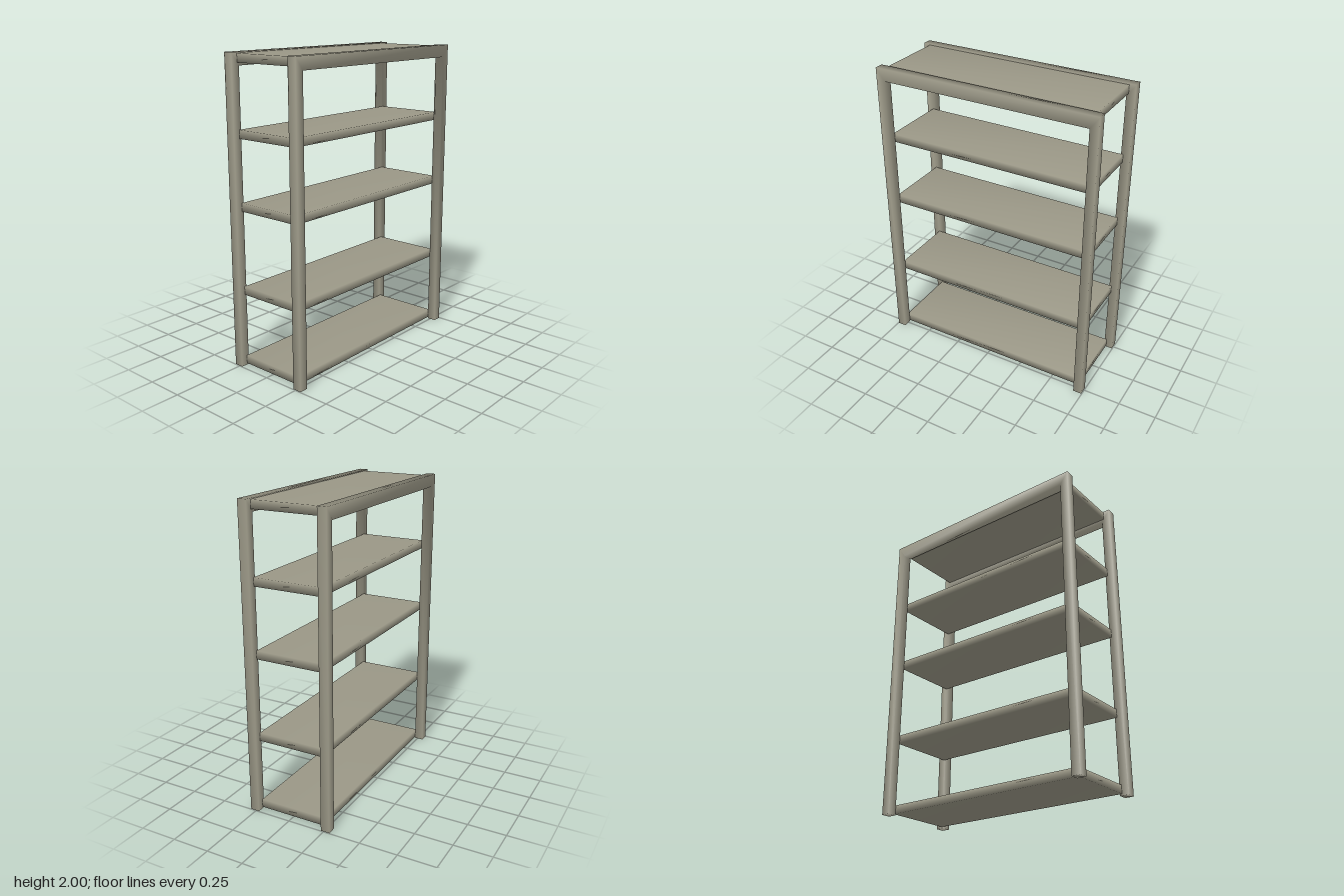
import * as THREE from 'three';
import { mergeVertices } from 'three/addons/utils/BufferGeometryUtils.js';

const HALF_W = 0.746, INNER_W = 0.688; // outer and inner half width of a frame
const TOP = 2, RAIL_BOTTOM = 1.92;
const FRAME_BACK = 0.23, FRAME_FRONT = 0.29;

// Inverted U frame: a rectangular section swept up, across and down with mitred corners
function frameGeometry() {
  const rings = [
    [-HALF_W, 0, -INNER_W, 0],
    [-HALF_W, TOP, -INNER_W, RAIL_BOTTOM],
    [HALF_W, TOP, INNER_W, RAIL_BOTTOM],
    [HALF_W, 0, INNER_W, 0],
  ];
  const positions = [], index = [];
  for (const [ox, oy, ix, iy] of rings) {
    positions.push(ox, oy, FRAME_FRONT, ox, oy, FRAME_BACK, ix, iy, FRAME_BACK, ix, iy, FRAME_FRONT);
  }
  for (let r = 0; r < 3; r++) {
    for (let k = 0; k < 4; k++) {
      const a = r * 4 + k, b = r * 4 + (k + 1) % 4;
      index.push(a, a + 4, b + 4, a, b + 4, b);
    }
  }
  index.push(0, 1, 2, 0, 2, 3, 12, 14, 13, 12, 15, 14); // feet
  const g = new THREE.BufferGeometry();
  g.setAttribute('position', new THREE.Float32BufferAttribute(positions, 3));
  g.setIndex(index);
  g.computeVertexNormals();
  return g;
}

// Box with shared corners, so its narrow edges shade softly
function softBox(w, h, d) {
  let g = new THREE.BoxGeometry(w, h, d);
  g.deleteAttribute('normal');
  g.deleteAttribute('uv');
  g = mergeVertices(g);
  g.computeVertexNormals();
  return g;
}

export function createModel() {
  const group = new THREE.Group();
  group.name = 'shelvingUnit';
  const metal = new THREE.MeshStandardMaterial({ color: 0x9a9786 });
  metal.name = 'warmGrey';

  const add = (name, geometry, x, y, z) => {
    const mesh = new THREE.Mesh(geometry, metal);
    mesh.name = name;
    mesh.position.set(x, y, z);
    group.add(mesh);
  };

  // Front and back frames
  const frame = frameGeometry();
  add('frontFrame', frame, 0, 0, 0);
  add('backFrame', frame, 0, 0, -FRAME_FRONT - FRAME_BACK);

  // Five shelves between the frames
  const shelf = softBox(1.404, 0.055, 2 * FRAME_BACK);
  [0.037, 0.511, 1.057, 1.512, 1.966].forEach((y, i) => add(`shelf${i + 1}`, shelf, 0, y, 0));

  return group;
}
